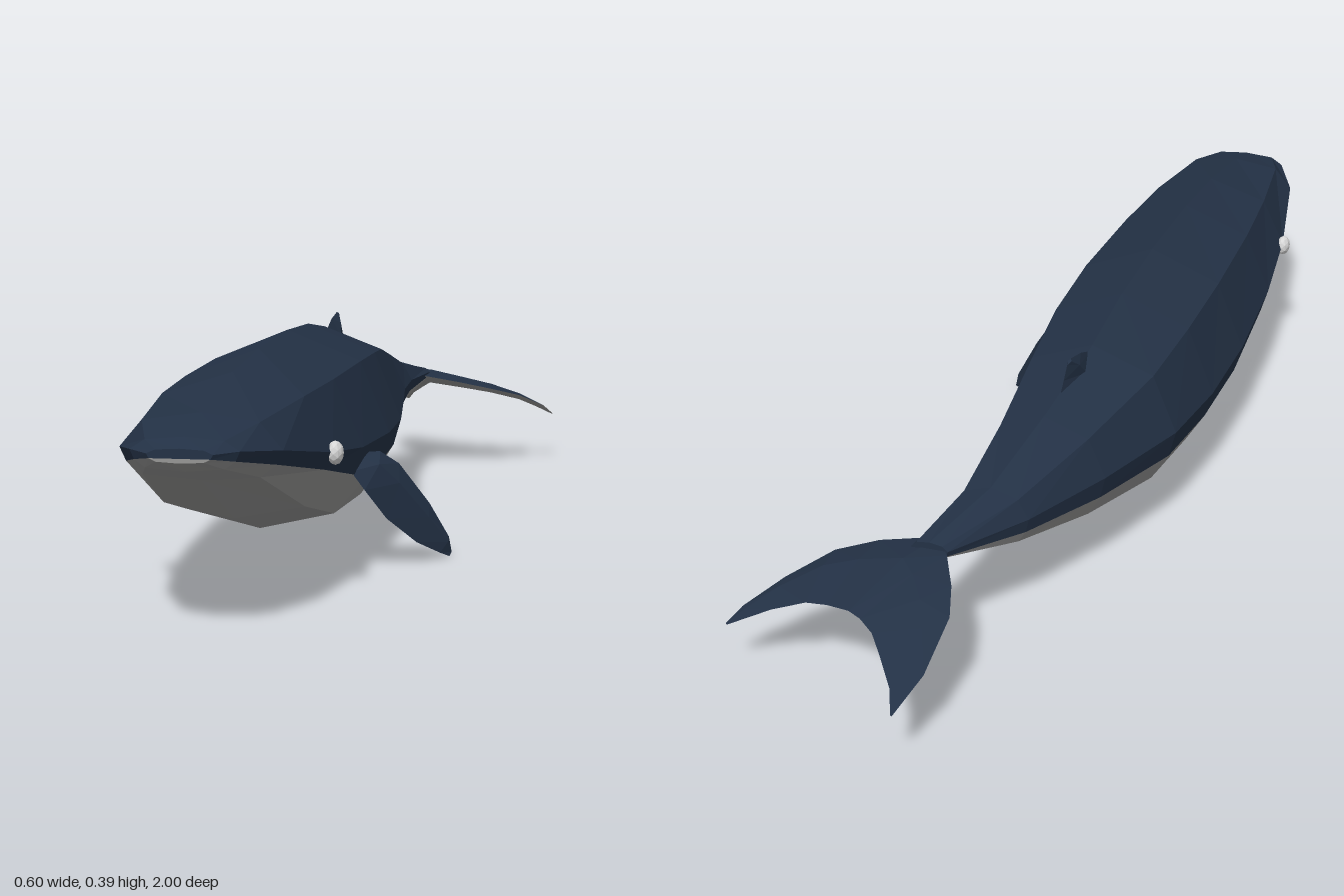
import * as THREE from 'three';

const material = (name, color, side = THREE.FrontSide) =>
  new THREE.MeshStandardMaterial({ name, color, flatShading: true, side });

// Skins a list of cross-sections (arrays of Vector3) with flat quads.
function loft(rings, { closed = false, flip = false, caps = false } = {}) {
  const pos = [];
  const tri = (a, b, c) => {
    for (const p of flip ? [a, c, b] : [a, b, c]) pos.push(p.x, p.y, p.z);
  };
  const n = rings[0].length;
  for (let i = 0; i < rings.length - 1; i++) {
    for (let j = 0; j < (closed ? n : n - 1); j++) {
      const k = (j + 1) % n;
      const a = rings[i][j], b = rings[i][k], c = rings[i + 1][k], d = rings[i + 1][j];
      tri(a, b, d);
      tri(b, c, d);
    }
  }
  if (caps) {
    const first = rings[0], last = rings[rings.length - 1];
    for (let j = 1; j < n - 1; j++) {
      tri(first[0], first[j + 1], first[j]);
      tri(last[0], last[j], last[j + 1]);
    }
  }
  const g = new THREE.BufferGeometry();
  g.setAttribute('position', new THREE.Float32BufferAttribute(pos, 3));
  g.computeVertexNormals();
  return g;
}

const v = (p) => new THREE.Vector3(...p);

// Diamond section of a fin: leading edge, bulge, trailing edge, opposite bulge.
function diamond([lead, trail, thick], normal) {
  const a = v(lead), b = v(trail);
  const m = a.clone().lerp(b, 0.4);
  return [a, m.clone().addScaledVector(normal, thick), b, m.clone().addScaledVector(normal, -thick)];
}

export function createModel() {
  const whale = new THREE.Group();
  whale.name = 'whale';
  const blue = material('deep blue skin', 0x233145);
  const grey = material('grey belly', 0x959594);
  const white = material('pale eye', 0xd6d6d6);

  const add = (name, geometry, mat, parent = whale) => {
    const mesh = new THREE.Mesh(geometry, mat);
    mesh.name = name;
    parent.add(mesh);
    return mesh;
  };

  // Body stations: z, centre x, half width, then heights of the
  // top, shoulder, widest edge, colour seam, lower edge and keel
  const stations = [
    [1.0, -0.115, 0.05, 0.302, 0.3, 0.294, 0.287, 0.282, 0.28],
    [0.97, -0.115, 0.083, 0.315, 0.31, 0.295, 0.28, 0.268, 0.263],
    [0.87, -0.115, 0.127, 0.337, 0.324, 0.282, 0.26, 0.24, 0.233],
    [0.65, -0.115, 0.163, 0.372, 0.335, 0.245, 0.216, 0.155, 0.132],
    [0.45, -0.115, 0.18, 0.388, 0.338, 0.222, 0.174, 0.106, 0.076],
    [0.2, -0.115, 0.188, 0.395, 0.34, 0.21, 0.157, 0.095, 0.058],
    [0.0, -0.115, 0.181, 0.387, 0.334, 0.206, 0.156, 0.098, 0.063],
    [-0.18, -0.115, 0.16, 0.364, 0.32, 0.212, 0.162, 0.11, 0.079],
    [-0.38, -0.092, 0.112, 0.317, 0.286, 0.214, 0.174, 0.136, 0.108],
    [-0.55, -0.056, 0.067, 0.262, 0.247, 0.212, 0.187, 0.166, 0.152],
    [-0.69, 0.0, 0.032, 0.226, 0.222, 0.213, 0.204, 0.2, 0.197],
  ];
  const backRings = [], bellyRings = [];
  for (const [z, cx, w, top, shoulder, wide, seam, low, keel] of stations) {
    const p = (f, y) => new THREE.Vector3(cx + f * w, y, z);
    backRings.push([p(-0.92, seam), p(-1, wide), p(-0.72, shoulder), p(0, top),
      p(0.72, shoulder), p(1, wide), p(0.92, seam)]);
    bellyRings.push([p(0.92, seam), p(0.72, low), p(0, keel), p(-0.72, low), p(-0.92, seam)]);
  }
  add('back', loft(backRings, { caps: true }), blue);
  add('belly', loft(bellyRings, { caps: true }), grey);

  // Eyes
  for (const side of [-1, 1]) {
    const eye = add(side > 0 ? 'leftEye' : 'rightEye', new THREE.IcosahedronGeometry(0.02, 1), white);
    eye.scale.set(0.7, 1, 1);
    eye.position.set(-0.115 + side * 0.166, 0.243, 0.642);
  }

  // Flipper: trailing edge, leading edge, half thickness
  const flipper = [
    [[0.045, 0.2, 0.37], [0.045, 0.18, 0.455], 0.012],
    [[0.082, 0.203, 0.37], [0.068, 0.148, 0.452], 0.013],
    [[0.112, 0.178, 0.345], [0.1, 0.092, 0.412], 0.013],
    [[0.16, 0.1, 0.298], [0.145, 0.04, 0.355], 0.01],
    [[0.192, 0.035, 0.272], [0.18, 0.012, 0.305], 0.006],
    [[0.196, 0.01, 0.268], [0.194, 0.001, 0.28], 0.002],
  ];
  const outward = new THREE.Vector3(0.82, 0.41, 0.4);
  add('flipper', loft(flipper.map((s) => diamond(s, outward)), { closed: true, caps: true }), blue);

  // Dorsal fin
  const dorsal = [
    [[-0.113, 0.352, -0.18], [-0.1, 0.318, -0.325], 0.016],
    [[-0.111, 0.374, -0.235], [-0.102, 0.35, -0.303], 0.011],
    [[-0.108, 0.384, -0.28], [-0.106, 0.377, -0.293], 0.003],
  ];
  const sideways = new THREE.Vector3(1, 0, 0.1);
  add('dorsalFin', loft(dorsal.map((s) => diamond(s, sideways)), { closed: true, caps: true }), blue);

  // Tail flukes, swung towards the left: leading edge, trailing edge, half thickness
  const root = [[0.0, 0.213, -0.65], [0.075, 0.178, -0.85], 0.015];
  const lobes = {
    leftFluke: [root,
      [[0.1, 0.195, -0.663], [0.12, 0.17, -0.835], 0.012],
      [[0.17, 0.178, -0.69], [0.16, 0.163, -0.83], 0.01],
      [[0.23, 0.155, -0.76], [0.22, 0.14, -0.835], 0.007],
      [[0.28, 0.125, -0.82], [0.26, 0.12, -0.841], 0.003],
      [[0.3, 0.103, -0.845], [0.297, 0.102, -0.848], 0]],
    rightFluke: [root,
      [[-0.035, 0.214, -0.7], [0.05, 0.176, -0.862], 0.012],
      [[-0.07, 0.205, -0.77], [0.02, 0.17, -0.885], 0.01],
      [[-0.09, 0.188, -0.83], [-0.005, 0.155, -0.915], 0.007],
      [[-0.085, 0.144, -0.93], [-0.04, 0.13, -0.96], 0.003],
      [[-0.06, 0.11, -1.0], [-0.057, 0.11, -0.999], 0]],
  };
  const up = new THREE.Vector3(0, 1, 0);
  for (const [name, sections] of Object.entries(lobes)) {
    const group = new THREE.Group();
    group.name = name;
    whale.add(group);
    const rings = sections.map((s) => diamond(s, up));
    const left = name === 'leftFluke';
    add(name + 'Top', loft(rings.map(([a, t, b]) => [a, t, b]), { flip: left }), blue, group);
    add(name + 'Underside', loft(rings.map(([a, , b, u]) => [b, u, a]), { flip: left }), grey, group);
  }

  return whale;
}
